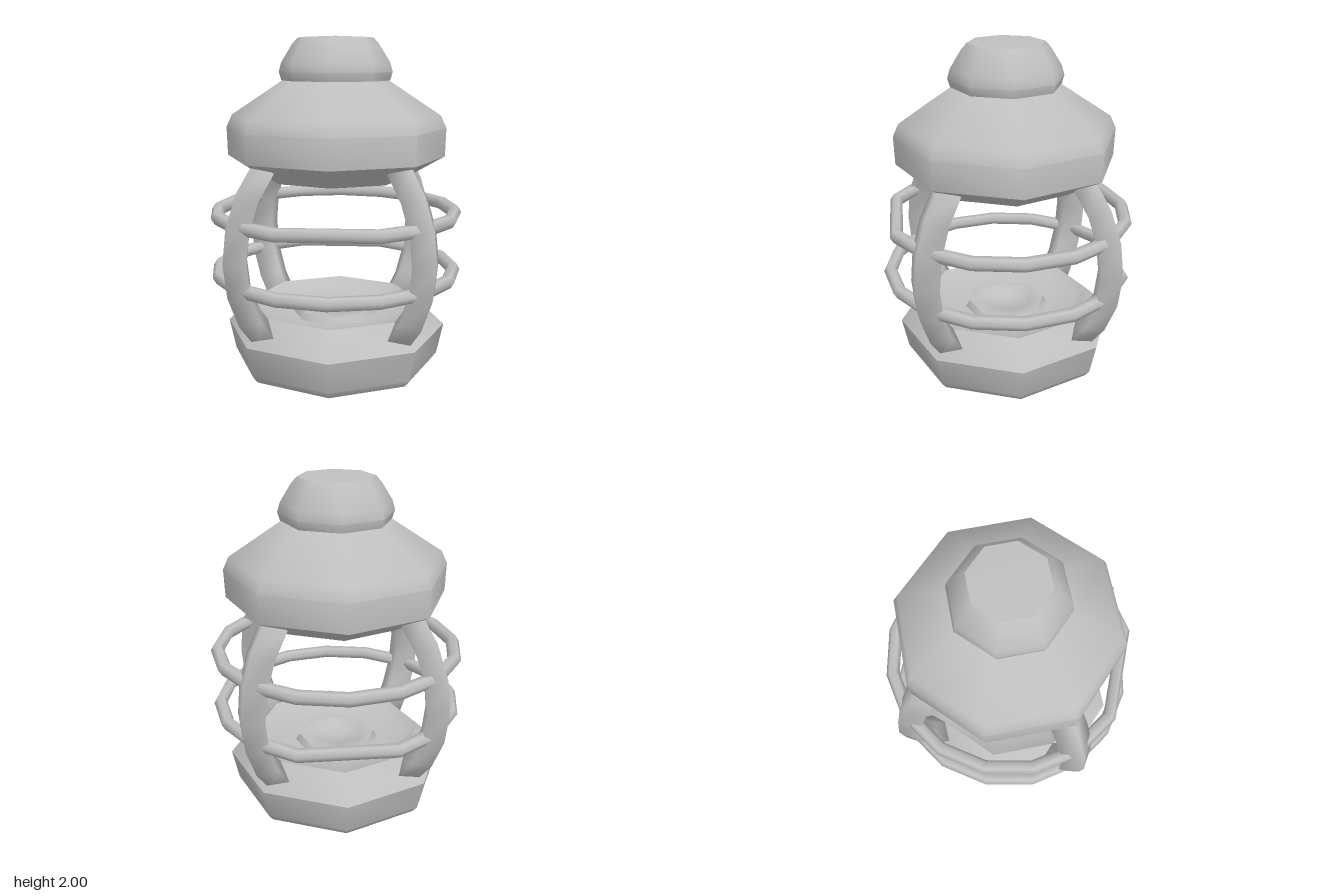
import * as THREE from 'three';
import { toCreasedNormals } from 'three/addons/utils/BufferGeometryUtils.js';

export function createModel() {
  const model = new THREE.Group();
  model.name = 'lantern';
  const metal = new THREE.MeshStandardMaterial({ color: 0xbfbfbf });
  metal.name = 'grey metal';

  function add(name, geometry) {
    const mesh = new THREE.Mesh(geometry, metal);
    mesh.name = name;
    model.add(mesh);
    return mesh;
  }

  // Eight-sided turned part, profile listed from bottom axis to top axis
  function turned(name, profile) {
    const points = profile.map(([r, y]) => new THREE.Vector2(r, y));
    return add(name, toCreasedNormals(new THREE.LatheGeometry(points, 8), 0.8));
  }

  // Base with a shallow well and a raised burner collar
  turned('base', [[0, 0], [0.61, 0], [0.64, 0.04], [0.68, 0.23], [0.53, 0.37],
    [0.46, 0.33], [0.3, 0.3], [0, 0.3]]);
  turned('burnerCollar', [[0, 0.29], [0.27, 0.29], [0.24, 0.34], [0.16, 0.34], [0.12, 0.305], [0, 0.305]]);

  // Roof with a hollow underside
  turned('roof', [[0, 1.28], [0.3, 1.28], [0.43, 1.16], [0.66, 1.29], [0.665, 1.46],
    [0.63, 1.535], [0.32, 1.74], [0, 1.74]]);
  turned('cap', [[0, 1.735], [0.325, 1.74], [0.34, 1.79], [0.325, 1.845], [0.26, 1.95],
    [0.225, 1.99], [0, 2]]);

  // Four bowed posts: a diamond-section bar, flattened and bent along an arc
  const postGeometry = new THREE.CylinderGeometry(0.108, 0.108, 1, 4, 6);
  const position = postGeometry.attributes.position;
  const bendRadius = 0.71;
  for (let i = 0; i < position.count; i++) {
    const angle = position.getY(i) * 1.53;
    const reach = bendRadius + position.getX(i) * 0.76;
    position.setXYZ(i, 0.745 - bendRadius + reach * Math.cos(angle),
      0.755 + reach * Math.sin(angle), position.getZ(i));
  }
  const post = toCreasedNormals(postGeometry, 1.9);
  for (let i = 0; i < 4; i++) {
    add('post' + (i + 1), post).rotation.y = Math.PI / 4 + i * Math.PI / 2;
  }

  // Six-sided guard bar with closed ends, running through the given points
  function bar(name, points) {
    const sides = 6, radius = 0.041, vertices = [], index = [];
    points.forEach((p, i) => {
      const out = new THREE.Vector3(p.x, 0, p.z).normalize();
      for (let k = 0; k < sides; k++) {
        const a = k / sides * Math.PI * 2;
        const v = p.clone().addScaledVector(out, Math.cos(a) * radius);
        vertices.push(v.x, v.y + Math.sin(a) * radius, v.z);
        if (i === 0) continue;
        const n = (k + 1) % sides, row = i * sides, last = row - sides;
        index.push(last + k, row + k, last + n, last + n, row + k, row + n);
      }
    });
    const end = (points.length - 1) * sides;
    for (let k = 1; k < sides - 1; k++) {
      index.push(0, k, k + 1, end, end + k + 1, end + k);
    }
    const geometry = new THREE.BufferGeometry();
    geometry.setAttribute('position', new THREE.Float32BufferAttribute(vertices, 3));
    geometry.setIndex(index);
    add(name, toCreasedNormals(geometry, 1.2));
  }

  // Two guard rings, each of four bars between the posts; one bar per ring has a flat middle
  const sideNames = ['Front', 'Left', 'Back', 'Right'];
  [['upper', 0.95, 0], ['lower', 0.59, 2]].forEach(([level, y, flatSide]) => {
    sideNames.forEach((side, s) => {
      const steps = s === flatSide ? [-2, -1, 1, 2] : [-2, -1, 0, 1, 2];
      const points = steps.map((step) => {
        const a = s * Math.PI / 2 + step * Math.PI / 8;
        return new THREE.Vector3(Math.sin(a) * 0.728, y, Math.cos(a) * 0.728);
      });
      bar(level + 'GuardBar' + side, points);
    });
  });

  return model;
}
